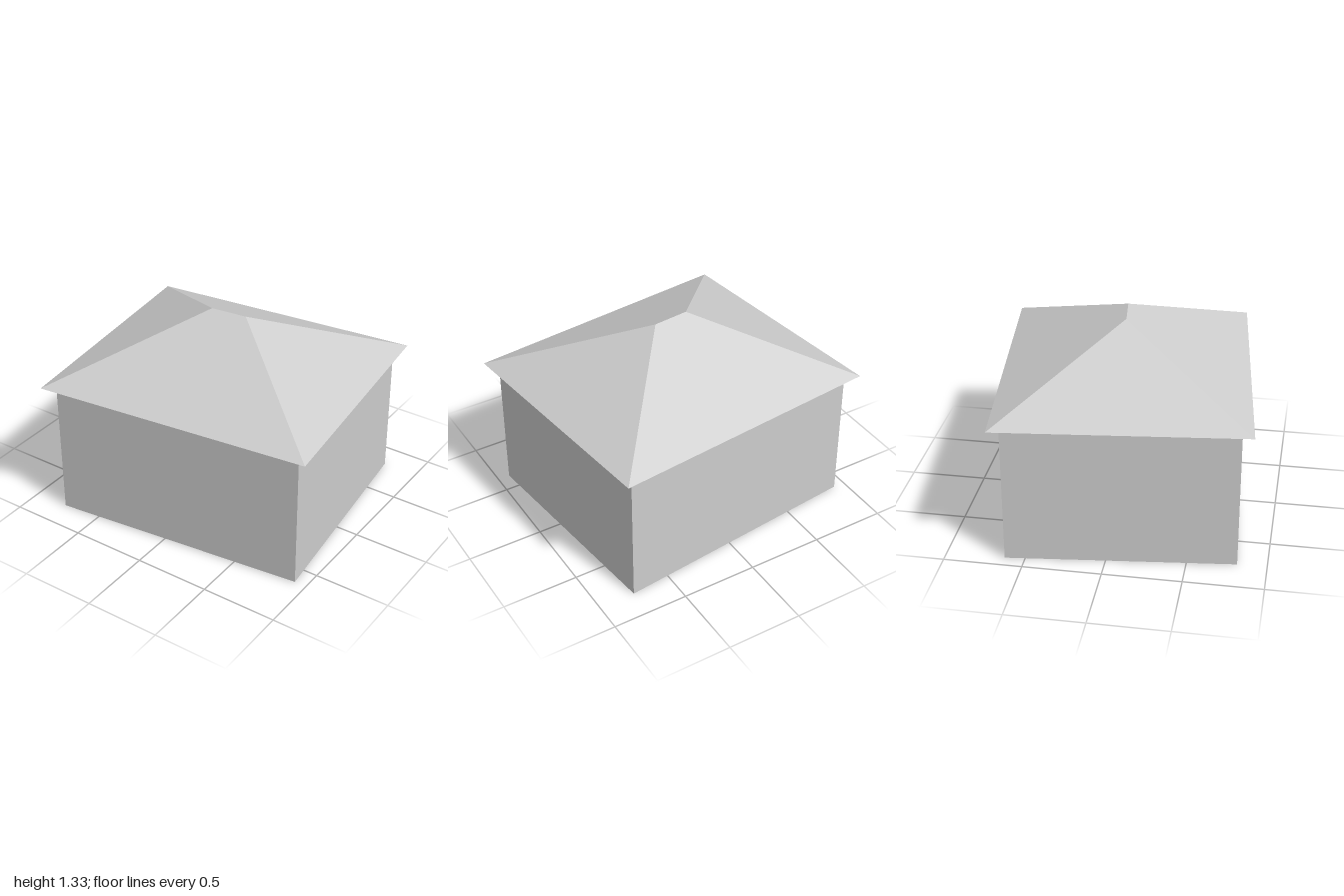
import * as THREE from 'three';

// Four corners of a centred rectangle, counter-clockwise seen from above
const ring = (hx, hz, y) =>
  [[-1, 1], [1, 1], [1, -1], [-1, -1]].map(([sx, sz]) => new THREE.Vector3(sx * hx, y, sz * hz));

// Open-bottomed shell between two rings, with an optional flat top
function shell(lower, upper, capped) {
  const points = [];
  const triangle = (a, b, c) => {
    if (!a.equals(b) && !b.equals(c) && !c.equals(a)) points.push(a, b, c);
  };
  for (let i = 0; i < 4; i++) {
    const j = (i + 1) % 4;
    triangle(lower[i], lower[j], upper[j]);
    triangle(lower[i], upper[j], upper[i]);
  }
  if (capped) {
    triangle(upper[0], upper[1], upper[2]);
    triangle(upper[0], upper[2], upper[3]);
  }
  const geometry = new THREE.BufferGeometry().setFromPoints(points);
  geometry.computeVertexNormals();
  return geometry;
}

export function createModel() {
  const house = new THREE.Group();
  house.name = 'house';
  const plaster = new THREE.MeshStandardMaterial({ color: 0xcccccc, side: THREE.DoubleSide });
  plaster.name = 'light grey';

  // Walls with a flat ceiling, open underneath, rising to meet the roof slopes
  const walls = new THREE.Mesh(shell(ring(0.846, 0.725, 0), ring(0.846, 0.725, 0.963), true), plaster);
  walls.name = 'walls';

  // Thin hipped roof with overhanging eaves and a short ridge
  const roof = new THREE.Mesh(shell(ring(0.917, 0.795, 0.93), ring(0.12, 0, 1.325), false), plaster);
  roof.name = 'hippedRoof';

  // The house stands slightly turned on its plot
  const body = new THREE.Group();
  body.name = 'body';
  body.rotation.y = THREE.MathUtils.degToRad(6.3);
  body.add(walls, roof);
  house.add(body);
  return house;
}
